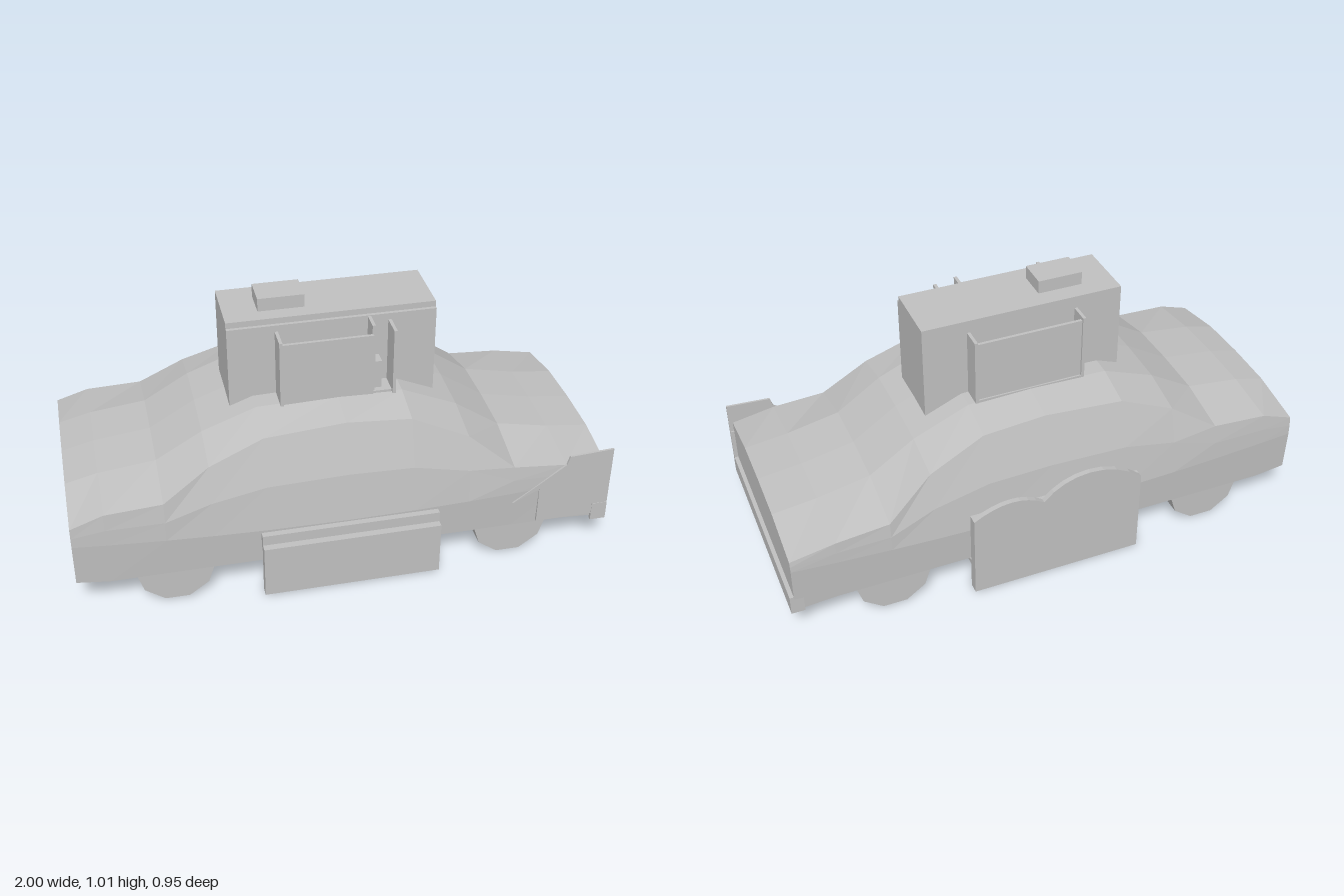
import * as THREE from 'three';

const grey = new THREE.MeshStandardMaterial({ color: 0xc0c0c0, flatShading: true, side: THREE.DoubleSide });
grey.name = 'plain grey';

export function createModel() {
  const model = new THREE.Group();
  const add = (name, geometry) => {
    const mesh = new THREE.Mesh(geometry, grey);
    mesh.name = name;
    model.add(mesh);
    return mesh;
  };
  // box given by its limits on each axis
  const box = (name, x0, x1, y0, y1, z0, z1) => {
    const m = add(name, new THREE.BoxGeometry(x1 - x0, y1 - y0, z1 - z0));
    m.position.set((x0 + x1) / 2, (y0 + y1) / 2, (z0 + z1) / 2);
    return m;
  };

  // car shell: x, centre top, shoulder height, shoulder half width, bottom
  const stations = [
    [-1, 0.43, 0.385, 0.42, 0.145], [-0.88, 0.46, 0.425, 0.415, 0.13],
    [-0.67, 0.485, 0.435, 0.41, 0.13], [-0.5, 0.585, 0.54, 0.37, 0.13],
    [-0.3, 0.66, 0.615, 0.345, 0.13], [0, 0.668, 0.635, 0.34, 0.13],
    [0.24, 0.66, 0.62, 0.345, 0.13], [0.45, 0.57, 0.53, 0.37, 0.13],
    [0.62, 0.455, 0.395, 0.415, 0.13], [0.82, 0.415, 0.38, 0.42, 0.13],
    [0.985, 0.395, 0.35, 0.42, 0.12],
  ];
  const rings = stations.map(([x, top, sy, sz, bottom]) => {
    const belt = 0.265 + 0.045 * x * x;
    const half = [
      [bottom, 0.418], [belt, 0.425],
      [(sy + belt) / 2, sz + (0.425 - sz) * 0.7], [sy, sz], [top - 0.006, 0.2],
    ];
    return [
      ...half.map(([y, z]) => [x, y, z]), [x, top, 0],
      ...half.reverse().map(([y, z]) => [x, y, -z]),
    ];
  });
  const pos = [];
  const tri = (...points) => points.forEach((p) => pos.push(...p));
  for (let i = 0; i < rings.length - 1; i++) {
    const a = rings[i], b = rings[i + 1], n = a.length;
    for (let j = 0; j < n; j++) {
      const k = (j + 1) % n;
      tri(a[j], b[j], b[k]);
      tri(a[j], b[k], a[k]);
    }
  }
  // end faces; the rear one keeps an open notch at the bottom
  const rear = rings[0], front = rings[rings.length - 1];
  for (let j = 0; j < rear.length - 1; j++) {
    tri([-1, 0.3, 0], rear[j], rear[j + 1]);
    tri([0.985, 0.12, 0], front[j + 1], front[j]);
  }
  const shell = new THREE.BufferGeometry();
  shell.setAttribute('position', new THREE.Float32BufferAttribute(pos, 3));
  shell.computeVertexNormals();
  add('carBody', shell);

  // front bumper and left corner plates
  box('frontBumper', 0.95, 1, 0.11, 0.185, -0.42, 0.42);
  box('frontCornerPlate', 0.94, 1, 0.11, 0.185, 0.415, 0.43);
  box('frontFenderPlate', 0.72, 1, 0.14, 0.31, 0.415, 0.428);
  const fin = new THREE.Shape([
    [0.62, 0.24], [0.72, 0.29], [1, 0.31], [1, 0.43], [0.83, 0.42], [0.82, 0.385],
  ].map(([x, y]) => new THREE.Vector2(x, y)));
  add('frontFenderFin', new THREE.ExtrudeGeometry(fin, { depth: 0.008, bevelEnabled: false })).position.z = 0.421;

  // wheels
  for (const x of [-0.645, 0.62]) for (const z of [-0.372, 0.372]) {
    const wheel = add('wheel', new THREE.CylinderGeometry(0.145, 0.145, 0.086, 10));
    wheel.rotation.set(Math.PI / 2, Math.PI / 10, 0);
    wheel.position.set(x, 0.148, z);
  }

  // roof cabinet with cap
  box('roofCabinet', -0.385, 0.38, 0.59, 0.96, -0.13, 0.115);
  box('cabinetFrontPlate', -0.385, 0.38, 0.59, 0.937, 0.115, 0.128);
  box('cabinetCap', -0.26, -0.09, 0.96, 1.01, -0.06, 0.056);

  // shallow bays with doors on both cabinet faces
  for (const [z0, z1, doorEnd] of [[0.125, 0.215, 0.13], [-0.205, -0.13, 0.2]]) {
    for (const x of [-0.213, 0.201]) box('bayWall', x, x + 0.012, 0.59, 0.912, z0, z1);
    const outer = z0 > 0 ? z1 - 0.018 : z0 + 0.006;
    box('bayDoor', -0.2, doorEnd, 0.59, 0.9, outer, outer + 0.012);
    box('bayShelf', -0.2, 0.2, 0.655, 0.665, z0, z1 - 0.01);
  }
  box('bayLatch', 0.135, 0.165, 0.67, 0.78, 0.14, 0.19);
  box('bayPost', 0.125, 0.137, 0.6, 0.935, 0.13, 0.2);

  // low panel on the front side
  box('frontSidePanel', -0.33, 0.33, 0.01, 0.22, 0.438, 0.475);
  box('frontPanelLip', -0.33, 0.33, 0.2, 0.26, 0.415, 0.448);

  // double humped panel on the back side
  const hump = new THREE.Shape();
  hump.moveTo(-0.33, 0.01);
  hump.lineTo(0.33, 0.01);
  hump.lineTo(0.33, 0.35);
  hump.quadraticCurveTo(0.18, 0.44, 0.06, 0.355);
  hump.bezierCurveTo(-0.03, 0.46, -0.2, 0.47, -0.33, 0.35);
  add('backSidePanel', new THREE.ExtrudeGeometry(hump, { depth: 0.02, bevelEnabled: false, curveSegments: 8 })).position.z = -0.475;
  box('backPanelBacking', -0.33, 0.33, 0.01, 0.35, -0.457, -0.436);
  box('backPanelBracket', -0.2, 0.2, 0.17, 0.31, -0.446, -0.418);

  // nested rail frames under the floor
  const frame = (name, hx, hz, w, y0, y1) => {
    for (const s of [-1, 1]) {
      box(name, -hx, hx, y0, y1, s * hz - w / 2, s * hz + w / 2);
      box(name, s * hx - w / 2, s * hx + w / 2, y0, y1, -hz, hz);
    }
  };
  frame('outerRail', 0.46, 0.23, 0.03, 0.07, 0.1);
  frame('middleRail', 0.33, 0.2, 0.025, 0.035, 0.075);
  frame('innerRail', 0.24, 0.14, 0.02, 0.02, 0.05);
  box('centrePlate', -0.2, 0.2, 0.02, 0.035, -0.11, 0.11);
  box('centrePin', -0.02, 0.02, 0, 0.02, -0.02, 0.02);
  box('undersideBlock', -0.4, 0.4, 0.075, 0.11, -0.19, 0.19);
  for (const x of [-0.3, 0, 0.3]) box('crossBar', x - 0.012, x + 0.012, 0.067, 0.087, -0.44, 0.44);
  for (const x of [-0.15, 0.15]) for (const z of [-0.14, 0.14]) {
    box('railBlock', x - 0.04, x + 0.04, 0.015, 0.06, z - 0.018, z + 0.018);
  }

  // tapered corner legs
  for (const x of [-0.475, 0.475]) for (const z of [-0.228, 0.228]) {
    const leg = add('cornerLeg', new THREE.CylinderGeometry(0.026, 0.04, 0.125, 6));
    leg.position.set(x, 0.077, z);
    const foot = add('legFoot', new THREE.CylinderGeometry(0.04, 0.034, 0.02, 6));
    foot.position.set(x, 0.02, z);
  }
  return model;
}
